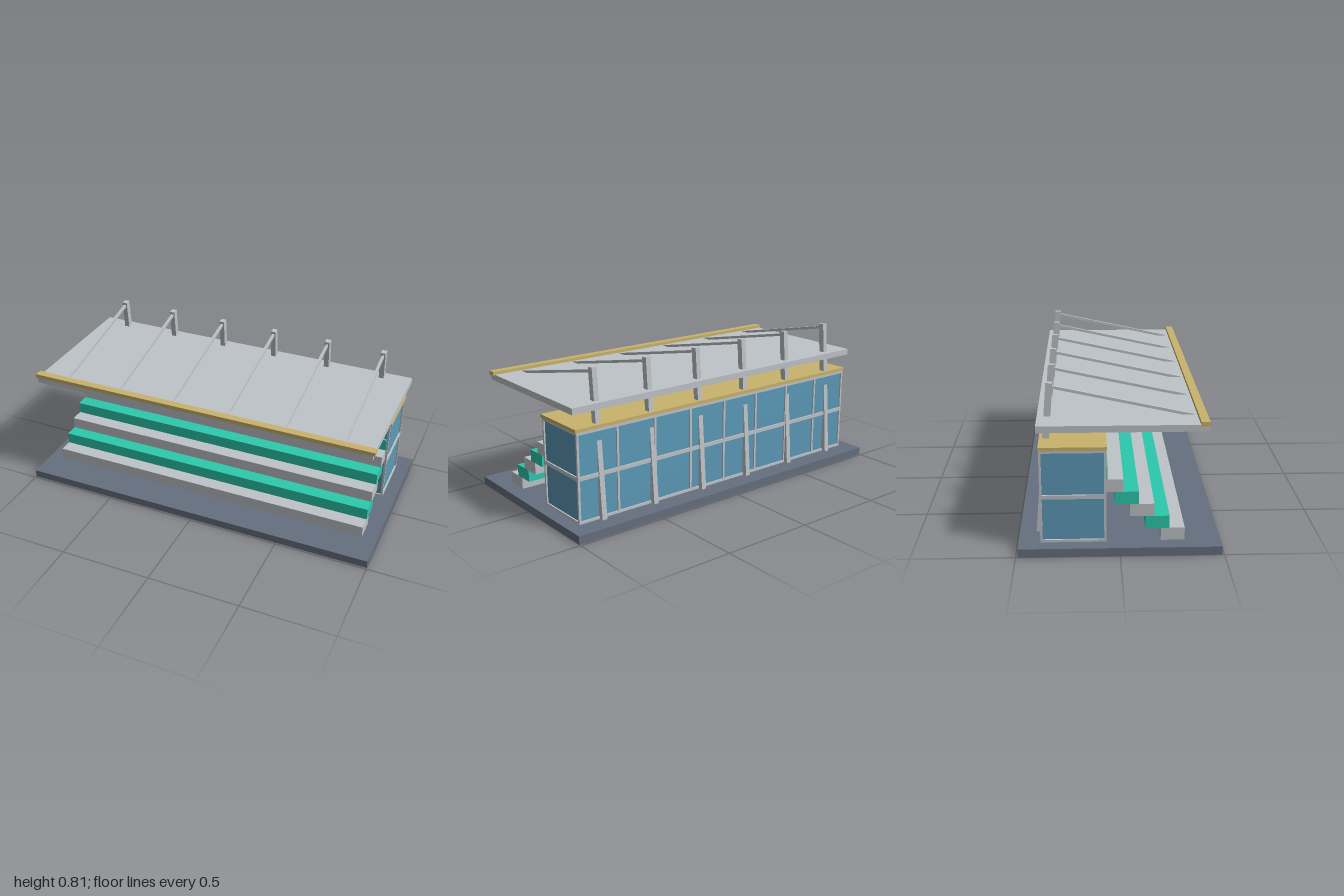
import * as THREE from 'three';

const mat = (name, color) => {
  const m = new THREE.MeshStandardMaterial({ color });
  m.name = name;
  return m;
};

export function createModel() {
  const model = new THREE.Group();
  model.name = 'grandstand';
  const concrete = mat('light grey', 0xbfc4c8);
  const slate = mat('slate', 0x667080);
  const teal = mat('teal', 0x2cc9ad);
  const glass = mat('blue glass', 0x5c9ab8);
  const gold = mat('sand gold', 0xc9b36c);

  // Box given by its extents on each axis
  const block = (name, m, [x0, x1], [y0, y1], [z0, z1], parent = model) => {
    const mesh = new THREE.Mesh(new THREE.BoxGeometry(x1 - x0, y1 - y0, z1 - z0), m);
    mesh.position.set((x0 + x1) / 2, (y0 + y1) / 2, (z0 + z1) / 2);
    mesh.name = name;
    parent.add(mesh);
    return mesh;
  };

  // Square bar between two points in a plane of constant x
  const bar = (name, x, [ya, za], [yb, zb], width, depth, parent) => {
    const dy = yb - ya, dz = zb - za;
    const mesh = new THREE.Mesh(new THREE.BoxGeometry(width, Math.hypot(dy, dz), depth), concrete);
    mesh.position.set(x, (ya + yb) / 2, (za + zb) / 2);
    mesh.rotation.x = Math.atan2(dz, dy);
    mesh.name = name;
    parent.add(mesh);
  };

  // Ground slab
  block('base', slate, [-1, 1], [0, 0.043], [-0.49, 0.49]);

  // Stepped seating, alternating colours
  const seating = new THREE.Group();
  seating.name = 'seating';
  model.add(seating);
  for (let i = 0; i < 6; i++) {
    const y = 0.043 + i * 0.064, front = 0.315 - i * 0.0745;
    block('seatRow', i % 2 ? teal : concrete, [-0.92, 0.92], [y, y + 0.064], [front - 0.116, front], seating);
  }

  // Glazed hall with its frame
  const hall = new THREE.Group();
  hall.name = 'hall';
  model.add(hall);
  const zf = -0.064, zb = -0.383;
  block('glazing', glass, [-0.922, 0.922], [0.043, 0.51], [zb + 0.008, zf - 0.008], hall);
  for (const [y0, y1] of [[0.043, 0.056], [0.268, 0.288], [0.501, 0.516]]) {
    for (const z of [zf, zb + 0.01]) {
      block('rail', concrete, [-0.93, 0.93], [y0, y1], [z - 0.01, z], hall);
    }
    for (const s of [-1, 1]) {
      block('sideRail', concrete, [s * 0.925 - 0.005, s * 0.925 + 0.005], [y0, y1], [zb, zf], hall);
    }
  }
  for (let i = 0; i <= 8; i++) {
    const x = (i - 4) * 0.231;
    for (const z of [zf, zb + 0.011]) {
      block('mullion', concrete, [x - 0.006, x + 0.006], [0.043, 0.516], [z - 0.011, z], hall);
    }
  }
  block('hallRoof', gold, [-0.937, 0.937], [0.516, 0.533], [-0.385, -0.061], hall);

  // Canopy slab with front edge trim
  block('canopy', concrete, [-0.955, 0.955], [0.612, 0.645], [-0.392, 0.415]);
  block('canopyTrim', gold, [-0.965, 0.965], [0.641, 0.662], [0.374, 0.416]);

  // Leaning masts, stay rods and lamps under the canopy
  for (let i = 0; i < 6; i++) {
    const x = (i - 2.5) * 0.3185;
    const support = new THREE.Group();
    support.name = 'support';
    model.add(support);
    bar('mast', x, [0.041, -0.391], [0.808, -0.33], 0.028, 0.033, support);
    bar('stayRod', x, [0.64, 0.358], [0.787, -0.322], 0.014, 0.014, support);
    block('lamp', concrete, [x - 0.056, x + 0.056], [0.594, 0.612], [0.343, 0.385], support);
  }
  return model;
}
